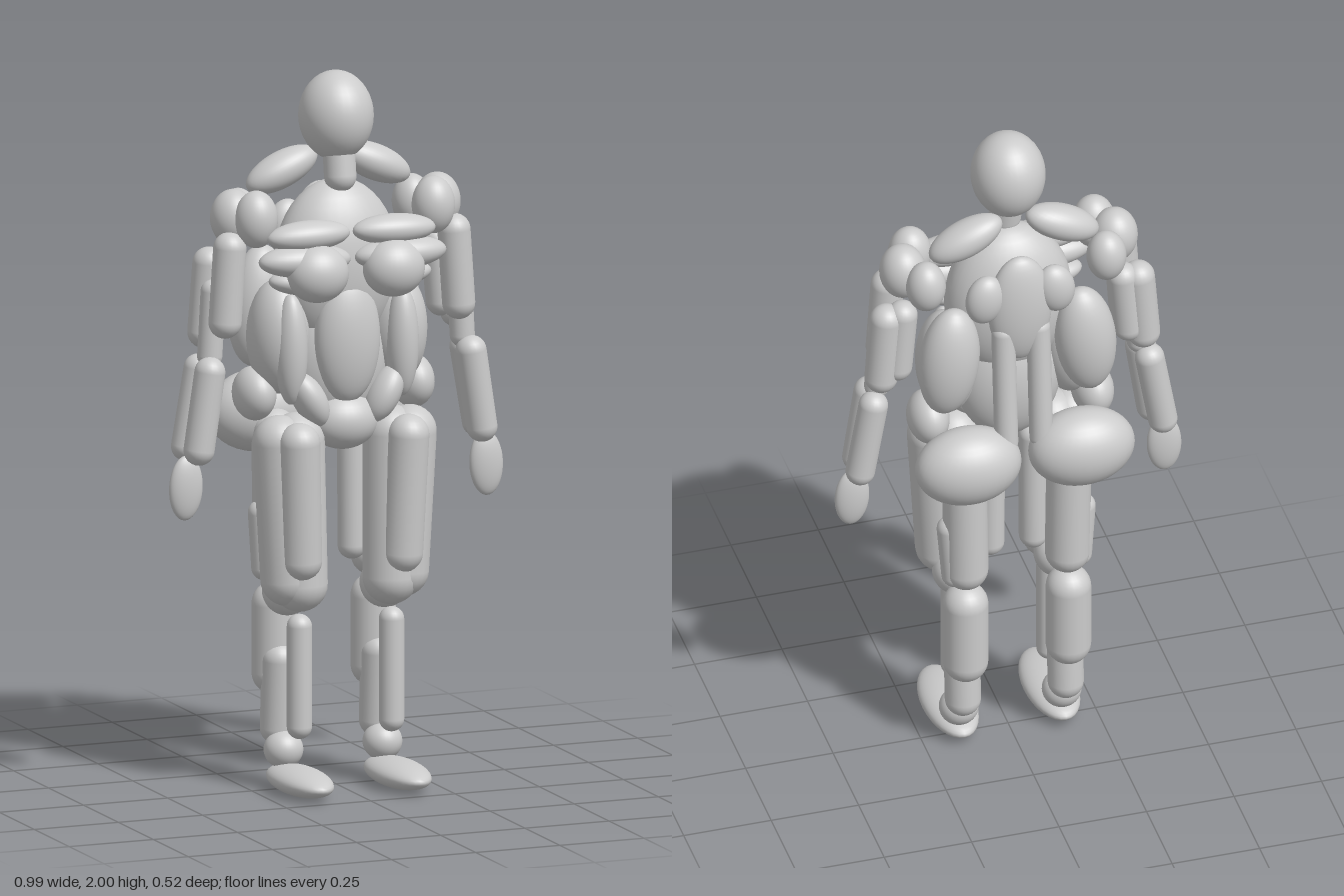
import * as THREE from 'three';

const material = new THREE.MeshStandardMaterial({ color: 0xcccccc });
const UP = new THREE.Vector3(0, 1, 0);
const ball = new THREE.SphereGeometry(1, 32, 20);

export function createModel() {
  const model = new THREE.Group();
  model.name = 'muscleFigure';

  // Ellipsoid with a centre, three radii and an optional roll about z and pitch about x
  function ellipsoid(parent, name, pos, radii, roll = 0, pitch = 0) {
    const mesh = new THREE.Mesh(ball, material);
    mesh.name = name;
    mesh.position.set(...pos);
    mesh.scale.set(...radii);
    mesh.rotation.set(pitch, 0, roll);
    parent.add(mesh);
  }

  // Capsule running between the centres of its two round ends
  function capsule(parent, name, from, to, radius) {
    const a = new THREE.Vector3(...from), b = new THREE.Vector3(...to);
    const axis = a.clone().sub(b);
    const mesh = new THREE.Mesh(new THREE.CapsuleGeometry(radius, axis.length(), 8, 24), material);
    mesh.name = name;
    mesh.position.copy(a).add(b).multiplyScalar(0.5);
    mesh.quaternion.setFromUnitVectors(UP, axis.normalize());
    parent.add(mesh);
  }

  // Parts on the centre line
  ellipsoid(model, 'head', [0, 1.875, 0], [0.103, 0.125, 0.11]);
  capsule(model, 'neck', [0, 1.78, 0.02], [0, 1.71, 0.03], 0.045);
  ellipsoid(model, 'ribCage', [0, 1.46, 0], [0.18, 0.24, 0.12]);
  ellipsoid(model, 'waist', [0, 1.2, 0], [0.15, 0.2, 0.1]);
  ellipsoid(model, 'abdomen', [0, 1.265, 0.08], [0.095, 0.18, 0.06]);
  ellipsoid(model, 'pelvis', [0, 1.03, 0.05], [0.1, 0.08, 0.08]);
  ellipsoid(model, 'middleBack', [0, 1.5, -0.115], [0.09, 0.17, 0.05]);

  for (const side of [1, -1]) {
    const half = new THREE.Group();
    half.name = side > 0 ? 'leftSide' : 'rightSide';
    const e = (name, [x, y, z], radii, roll = 0, pitch = 0) =>
      ellipsoid(half, name, [side * x, y, z], radii, side * roll, pitch);
    const c = (name, [x1, y1, z1], [x2, y2, z2], r) =>
      capsule(half, name, [side * x1, y1, z1], [side * x2, y2, z2], r);

    // Neck and shoulder
    e('trapezius', [0.138, 1.722, -0.057], [0.112, 0.05, 0.055], -0.42);
    e('frontShoulder', [0.263, 1.615, 0.063], [0.06, 0.08, 0.058]);
    e('middleShoulder', [0.303, 1.61, -0.005], [0.064, 0.08, 0.066]);
    e('rearShoulder', [0.258, 1.6, -0.08], [0.055, 0.075, 0.055]);

    // Chest
    e('upperChest', [0.127, 1.567, 0.108], [0.122, 0.042, 0.052], -0.02);
    e('middleChest', [0.142, 1.5, 0.118], [0.135, 0.046, 0.057], 0.02);
    e('lowerChest', [0.113, 1.465, 0.142], [0.088, 0.08, 0.07]);
    e('chestEdge', [0.14, 1.435, 0.1], [0.1, 0.035, 0.05], 0.1);

    // Flank and back
    e('frontOblique', [0.165, 1.245, 0.075], [0.046, 0.155, 0.05]);
    e('sideOblique', [0.175, 1.27, 0.005], [0.085, 0.16, 0.1]);
    e('wideBack', [0.195, 1.34, -0.09], [0.085, 0.17, 0.07], 0.1);
    e('shoulderBlade', [0.1, 1.55, -0.12], [0.055, 0.075, 0.04], 0.15);
    c('spineMuscle', [0.05, 1.43, -0.125], [0.05, 1.08, -0.155], 0.033);

    // Hip
    e('hip', [0.235, 1.11, -0.02], [0.058, 0.075, 0.08]);
    e('hipFlexor', [0.11, 1.1, 0.075], [0.045, 0.085, 0.055], -0.5);
    e('buttock', [0.162, 1.03, -0.165], [0.15, 0.115, 0.098]);

    // Arm
    c('biceps', [0.333, 1.535, 0.042], [0.347, 1.33, 0.042], 0.046);
    c('outerTriceps', [0.36, 1.48, -0.042], [0.375, 1.29, -0.042], 0.046);
    c('innerTriceps', [0.315, 1.49, -0.045], [0.33, 1.32, -0.045], 0.042);
    c('elbowMuscle', [0.365, 1.41, 0], [0.375, 1.23, 0], 0.035);
    c('frontForearm', [0.388, 1.19, 0.032], [0.42, 0.975, 0.032], 0.043);
    c('rearForearm', [0.395, 1.19, -0.034], [0.432, 0.975, -0.034], 0.041);
    e('hand', [0.446, 0.865, 0], [0.049, 0.091, 0.024], 0.04);

    // Thigh
    c('frontThigh', [0.162, 0.99, 0.128], [0.15, 0.66, 0.112], 0.058);
    c('outerThigh', [0.193, 0.985, 0.062], [0.17, 0.6, 0.062], 0.075);
    c('innerThigh', [0.14, 0.985, 0.055], [0.135, 0.585, 0.065], 0.078);
    c('thighAdductor', [0.06, 1.0, -0.035], [0.062, 0.66, -0.035], 0.04);
    c('hamstring', [0.15, 0.99, -0.085], [0.145, 0.62, -0.085], 0.062);
    c('outerHamstring', [0.19, 0.76, -0.08], [0.178, 0.605, -0.085], 0.036);

    // Lower leg
    e('knee', [0.145, 0.555, 0], [0.07, 0.07, 0.068]);
    c('calf', [0.147, 0.5, -0.088], [0.147, 0.31, -0.088], 0.063);
    c('lowerCalf', [0.147, 0.35, -0.05], [0.147, 0.16, -0.062], 0.05);
    c('shin', [0.137, 0.465, 0.068], [0.137, 0.185, 0.068], 0.035);
    e('ankle', [0.147, 0.105, -0.022], [0.055, 0.053, 0.054]);
    e('foot', [0.145, 0.038, 0.092], [0.074, 0.038, 0.168]);
    model.add(half);
  }
  return model;
}
